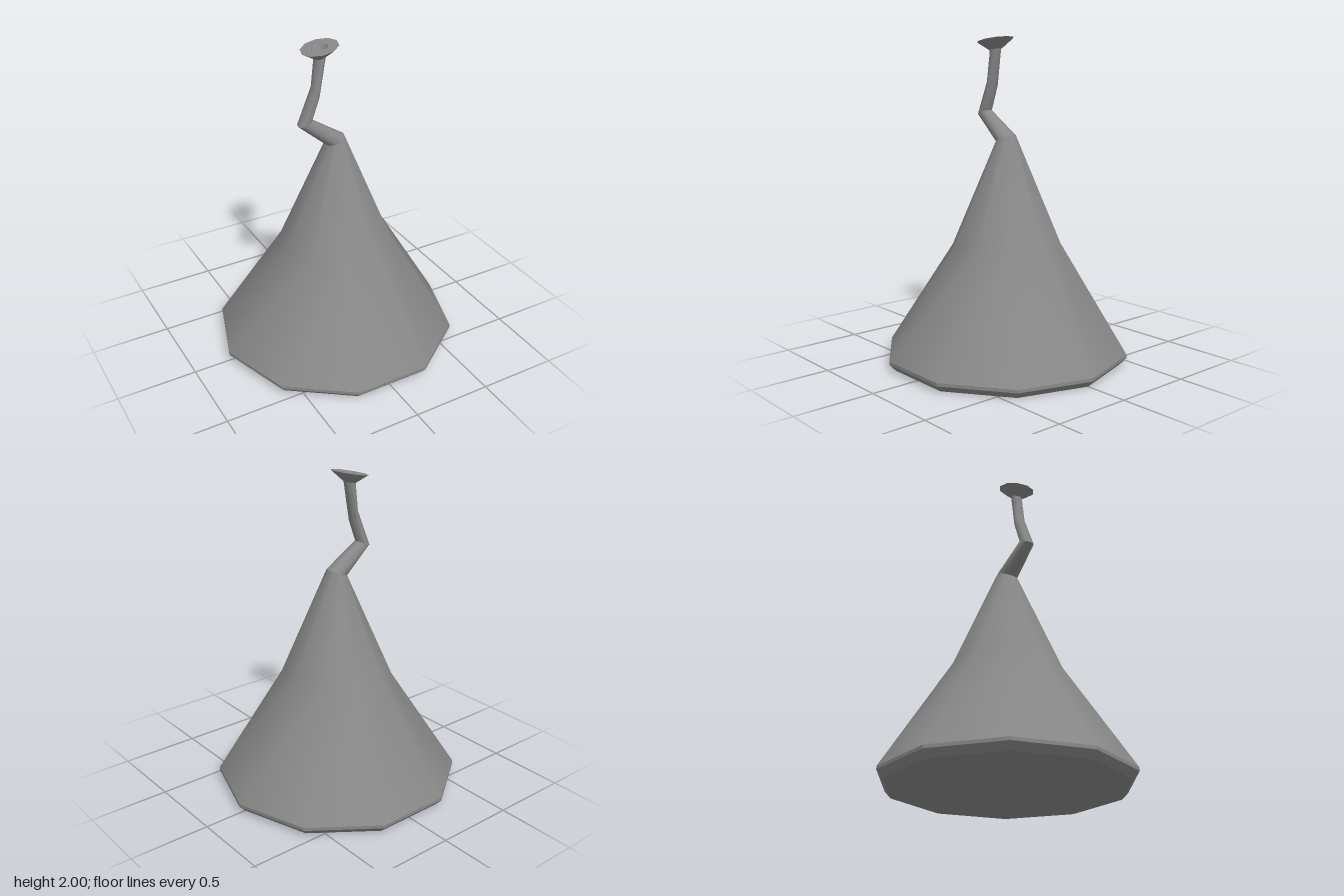
import * as THREE from 'three';
import { toCreasedNormals } from 'three/addons/utils/BufferGeometryUtils.js';

const SIDES = 10;
const rad = THREE.MathUtils.degToRad;

// Skin through ten-sided rings [x, y, radius, tilt in degrees about z]; radius 0 closes an end
function loft(rings, crease) {
  const pos = [], index = [];
  for (const [x, y, r, tilt = 0] of rings) {
    for (let i = 0; i < SIDES; i++) {
      const a = (i / SIDES) * Math.PI * 2;
      const u = r * Math.cos(a);
      pos.push(x + u * Math.cos(rad(tilt)), y + u * Math.sin(rad(tilt)), r * Math.sin(a));
    }
  }
  for (let j = 0; j < rings.length - 1; j++) {
    for (let i = 0; i < SIDES; i++) {
      const k = (i + 1) % SIDES;
      const a = j * SIDES + i, b = j * SIDES + k;
      const c = a + SIDES, d = b + SIDES;
      if (rings[j][2] > 0) index.push(a, c, b);
      if (rings[j + 1][2] > 0) index.push(b, c, d);
    }
  }
  const geometry = new THREE.BufferGeometry();
  geometry.setAttribute('position', new THREE.Float32BufferAttribute(pos, 3));
  geometry.setIndex(index);
  return toCreasedNormals(geometry, rad(crease));
}

export function createModel() {
  const group = new THREE.Group();
  const material = new THREE.MeshStandardMaterial({ color: 0x888888 });
  const add = (name, crease, rings) => {
    const mesh = new THREE.Mesh(loft(rings, crease), material);
    mesh.name = name;
    group.add(mesh);
  };

  // Bevelled foot with a flat underside
  add('foot', 34, [
    [0, 0, 0],
    [0, 0, 0.725],
    [0, 0.042, 0.765],
    [0, 0.062, 0.765],
  ]);

  // Smooth conical body, slightly tilted at the waist and top
  add('body', 48, [
    [0, 0.062, 0.765],
    [0, 0.728, 0.345, 3.8],
    [0, 1.385, 0.065, 22],
  ]);

  // Crooked neck
  add('neck', 45, [
    [0, 1.385, 0.065, 22],
    [-0.2, 1.535, 0.046, 20],
    [-0.128, 1.715, 0.041, -62],
    [-0.096, 1.93, 0.037, 14],
  ]);

  // Flared mouth with a shallow hollow
  add('mouth', 45, [
    [-0.096, 1.922, 0.037, 12],
    [-0.098, 1.98, 0.115, 11],
    [-0.098, 1.98, 0.05, 11],
    [-0.097, 1.955, 0.034, 11],
    [-0.097, 1.955, 0, 11],
  ]);

  return group;
}
